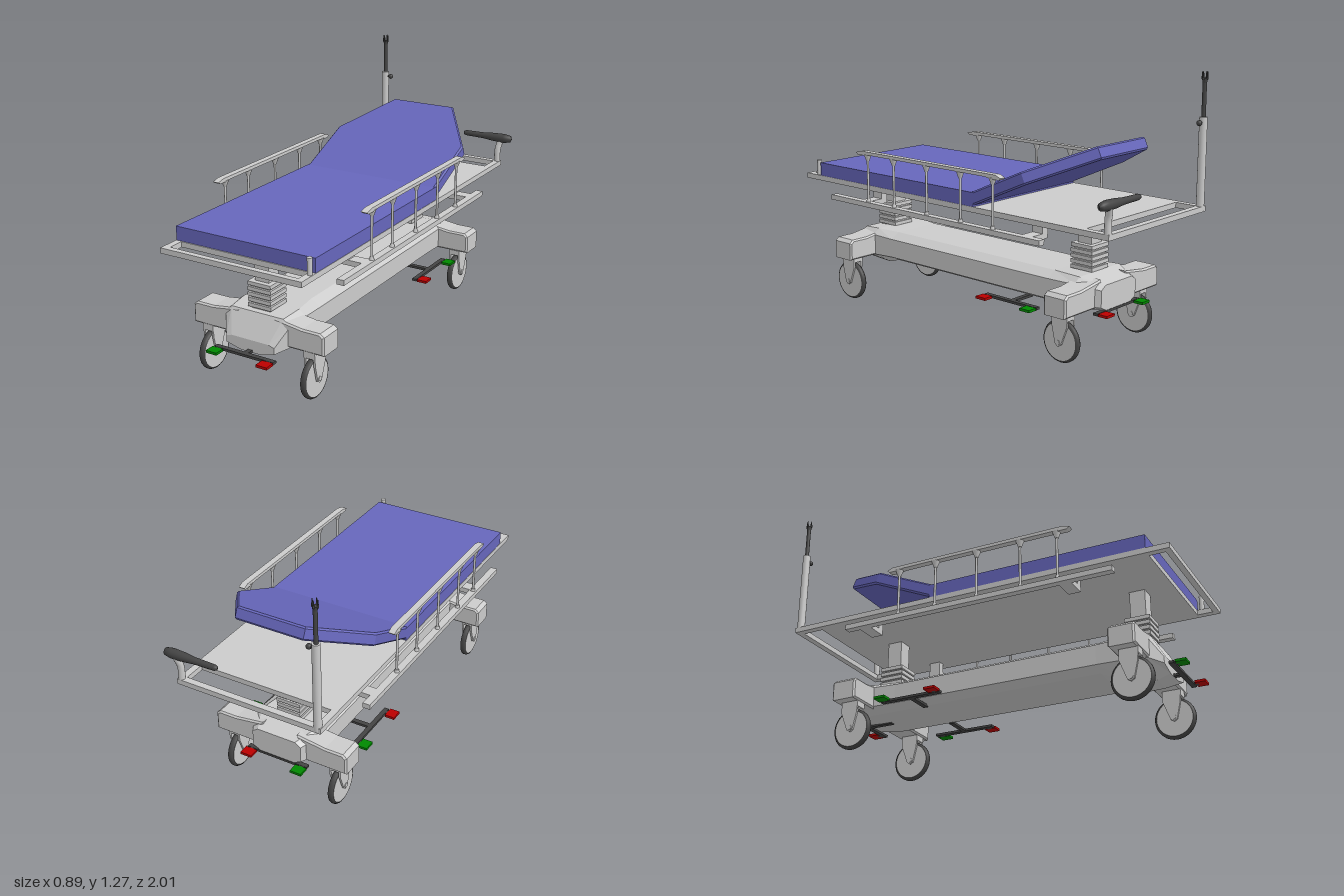
import * as THREE from 'three';

const mat = (color, extra = {}) => new THREE.MeshStandardMaterial({ color, ...extra });
const GREY = mat(0xcccccc), FLAT = mat(0xcccccc, { flatShading: true });
const BLUE = mat(0x6666bb), DARK = mat(0x444444), RED = mat(0xbb0000), GREEN = mat(0x008800);

function add(parent, name, geo, material, x = 0, y = 0, z = 0) {
  const m = new THREE.Mesh(geo, material);
  m.name = name;
  m.position.set(x, y, z);
  parent.add(m);
  return m;
}

// Box given by its min/max on each axis
function block(parent, name, [x0, x1], [y0, y1], [z0, z1], material = GREY) {
  return add(parent, name, new THREE.BoxGeometry(Math.abs(x1 - x0), y1 - y0, z1 - z0), material,
    (x0 + x1) / 2, (y0 + y1) / 2, (z0 + z1) / 2);
}

function rod(parent, name, rTop, rBottom, x, y0, y1, z, material = GREY, sides = 16) {
  return add(parent, name, new THREE.CylinderGeometry(rTop, rBottom, y1 - y0, sides), material, x, (y0 + y1) / 2, z);
}

// Skin over closed rings that run counter-clockwise seen from +z, listed front to back
function loft(rings) {
  const n = rings[0].length, index = [], last = (rings.length - 1) * n;
  for (let i = 0; i < rings.length - 1; i++) for (let j = 0; j < n; j++) {
    const a = i * n + j, b = i * n + (j + 1) % n;
    index.push(a, a + n, b, b, a + n, b + n);
  }
  for (let j = 1; j < n - 1; j++) index.push(0, j, j + 1, last, last + j + 1, last + j);
  const g = new THREE.BufferGeometry();
  g.setAttribute('position', new THREE.Float32BufferAttribute(rings.flat(2), 3));
  g.setIndex(index);
  g.computeVertexNormals();
  return g;
}

// Side-view outline in (z, y), extruded to a width centred on x = 0
function sideProfile(points, width) {
  const s = new THREE.Shape(points.map(([z, y]) => new THREE.Vector2(-z, y)));
  return new THREE.ExtrudeGeometry(s, { depth: width, bevelEnabled: false }).translate(0, 0, -width / 2).rotateY(Math.PI / 2);
}

function buildBase(g) {
  // Chassis sections: z, half widths (top, middle, bottom), heights (top, shoulder, lower, bottom)
  const sections = [
    [0.85, 0.10, 0.13, 0.05, 0.25, 0.24, 0.21, 0.19],
    [0.79, 0.14, 0.175, 0.055, 0.36, 0.33, 0.23, 0.167],
    [0.68, 0.15, 0.185, 0.07, 0.368, 0.34, 0.235, 0.17],
    [0.55, 0.13, 0.18, 0.13, 0.365, 0.335, 0.24, 0.215],
    [-0.5, 0.13, 0.18, 0.13, 0.365, 0.335, 0.24, 0.215],
    [-0.66, 0.15, 0.185, 0.13, 0.368, 0.34, 0.24, 0.215],
    [-0.77, 0.10, 0.13, 0.09, 0.34, 0.32, 0.24, 0.22],
  ];
  add(g, 'chassis', loft(sections.map(([z, t, m, b, yt, ys, yl, yb]) => [
    [-b, yb, z], [b, yb, z], [m, yl, z], [m, ys, z], [t, yt, z], [-t, yt, z], [-m, ys, z], [-m, yl, z]])), FLAT);

  // Lifting columns with ribbed sleeves
  for (const z of [0.71, -0.6]) {
    block(g, 'columnPost', [-0.038, 0.038], [0.34, 0.64], [z - 0.038, z + 0.038]);
    block(g, 'columnSleeve', [-0.052, 0.052], [0.35, 0.49], [z - 0.052, z + 0.052]);
    for (let i = 0; i < 5; i++)
      block(g, 'sleeveRib', [-0.062, 0.062], [0.37 + i * 0.026, 0.388 + i * 0.026], [z - 0.062, z + 0.062]);
  }

  // Caster arms and casters
  for (const side of [-1, 1]) for (const [z, armZ] of [[0.755, 0.735], [-0.665, -0.68]]) {
    const arm = new THREE.Shape();
    [[0.1, 0.24], [0.345, 0.24], [0.345, 0.318], [0.33, 0.33], [0.24, 0.33], [0.1, 0.35]]
      .forEach(([x, y], i) => (i ? arm.lineTo(x * side, y) : arm.moveTo(x * side, y)));
    add(g, 'casterArm', new THREE.ExtrudeGeometry(arm, { depth: 0.11, bevelSize: 0.008, bevelThickness: 0.008, bevelSegments: 1 }),
      GREY, 0, 0, armZ - 0.055);
    caster(g, 0.277 * side, z);
  }
}

function caster(g, x, z) {
  const c = new THREE.Group();
  c.name = 'caster';
  c.position.set(x, 0, z);
  g.add(c);
  const tread = [[0.088, -0.015], [0.096, -0.012], [0.1, -0.005], [0.1, 0.005], [0.096, 0.012], [0.088, 0.015]];
  add(c, 'tyre', new THREE.LatheGeometry(tread.map(p => new THREE.Vector2(...p)), 36), DARK, 0, 0.1, 0).rotation.z = Math.PI / 2;
  add(c, 'wheelDisc', new THREE.CylinderGeometry(0.09, 0.09, 0.028, 36), GREY, 0, 0.1, 0).rotation.z = Math.PI / 2;
  add(c, 'axle', new THREE.CylinderGeometry(0.012, 0.012, 0.064, 12), GREY, 0, 0.1, 0).rotation.z = Math.PI / 2;
  const plate = [[-0.05, 0.225], [0.04, 0.225], [0.035, 0.17], [0.016, 0.09], [0, 0.08], [-0.016, 0.09], [-0.05, 0.18]];
  for (const s of [-1, 1]) add(c, 'forkPlate', sideProfile(plate, 0.01), GREY, s * 0.024, 0, 0);
  block(c, 'forkCrown', [-0.029, 0.029], [0.205, 0.245], [-0.05, 0.04]);
}

// Pedal pair reaching out along the group's +z; first colour sits on its -x end
function pedals(g, x, y, z, turn, first, second) {
  const p = new THREE.Group();
  p.name = 'footPedals';
  p.position.set(x, y, z);
  p.rotation.y = turn;
  g.add(p);
  block(p, 'pedalStem', [-0.012, 0.012], [-0.006, 0.006], [-0.14, 0], DARK);
  block(p, 'pedalBar', [-0.16, 0.16], [-0.006, 0.006], [-0.012, 0.012], DARK);
  [[-0.135, first], [0.135, second]].forEach(([px, m]) => {
    block(p, 'pedalArm', [px - 0.012, px + 0.012], [-0.005, 0.005], [0, 0.03], DARK);
    block(p, 'pedalPad', [px - 0.029, px + 0.029], [-0.005, 0.007], [0.018, 0.068], m);
  });
}

function buildDeck(g) {
  block(g, 'deck', [-0.37, 0.37], [0.632, 0.658], [-0.84, 0.88]);
  for (const s of [-1, 1]) {
    block(g, 'frontFrameRail', [s * 0.337, s * 0.37], [0.632, 0.658], [0.88, 0.985]);
    block(g, 'backFrameRail', [s * 0.337, s * 0.37], [0.632, 0.658], [-0.98, -0.84]);
  }
  block(g, 'frontFrameBar', [-0.337, 0.337], [0.632, 0.658], [0.957, 0.985]);
  block(g, 'backFrameBar', [-0.337, 0.337], [0.632, 0.658], [-0.98, -0.948]);
  rod(g, 'cornerPeg', 0.012, 0.012, 0.355, 0.64, 0.735, 0.9);

  // Mattress: flat section and raised tapering backrest
  block(g, 'mattress', [-0.368, 0.368], [0.658, 0.725], [-0.21, 0.875], BLUE);
  const outline = [[-0.36, 0], [0.36, 0], [0.36, 0.345], [0.17, 0.635], [-0.17, 0.635], [-0.36, 0.345]];
  const back = new THREE.ExtrudeGeometry(new THREE.Shape(outline.map(p => new THREE.Vector2(...p))),
    { depth: 0.045, bevelSize: 0.008, bevelThickness: 0.008, bevelSegments: 1 });
  back.rotateX(-Math.PI / 2);
  add(g, 'backrest', back, BLUE, 0, 0.67, -0.2).rotation.x = 0.42;
}

function buildSideRails(g) {
  const cap = [[0.54, 0.828], [0.525, 0.818], [0.48, 0.818], [0.45, 0.822], [-0.33, 0.822], [-0.36, 0.816],
    [-0.41, 0.816], [-0.42, 0.826], [-0.39, 0.838], [0.5, 0.838]];
  for (const s of [-1, 1]) {
    const r = new THREE.Group();
    r.name = 'sideRail';
    r.position.x = s * 0.4;
    g.add(r);
    add(r, 'topRail', sideProfile(cap, 0.032), GREY);
    block(r, 'lowerRail', [-0.018, 0.018], [0.56, 0.585], [-0.645, 0.735]);
    for (const z of [0.47, 0.285, 0.06, -0.16, -0.36]) {
      rod(r, 'baluster', 0.006, 0.006, 0, 0.58, 0.8, z, GREY, 12);
      rod(r, 'balusterFoot', 0.009, 0.012, 0, 0.585, 0.6, z, GREY, 12);
      rod(r, 'balusterHead', 0.02, 0.008, 0, 0.79, 0.823, z, GREY, 12);
    }
    // Brackets hanging the rail below the deck
    for (const z of [0.5, -0.55]) {
      block(g, 'bracketDrop', [s * 0.28, s * 0.315], [0.56, 0.635], [z - 0.03, z + 0.03]);
      block(g, 'bracketReach', [s * 0.315, s * 0.385], [0.56, 0.585], [z - 0.03, z + 0.03]);
    }
  }
}

function buildPoleAndHandle(g) {
  // Drip pole
  const x = -0.348, z = -0.964;
  rod(g, 'poleSleeve', 0.019, 0.019, x, 0.64, 1.07, z);
  rod(g, 'polePost', 0.01, 0.01, x, 1.06, 1.24, z, DARK);
  add(g, 'poleScrew', new THREE.CylinderGeometry(0.006, 0.006, 0.03, 12), DARK, x + 0.022, 1.045, z).rotation.z = Math.PI / 2;
  add(g, 'poleKnob', new THREE.SphereGeometry(0.013, 16, 12), DARK, x + 0.034, 1.045, z);
  rod(g, 'poleCollar', 0.014, 0.01, x, 1.225, 1.245, z, DARK);
  for (let i = 0; i < 4; i++) {
    const a = i * Math.PI / 2;
    rod(g, 'poleHook', 0.002, 0.005, x + 0.013 * Math.cos(a), 1.24, 1.275, z + 0.013 * Math.sin(a), DARK, 8);
  }

  // Push handle on a bent post
  const post = new THREE.CatmullRomCurve3([[0.354, 0.645, -0.964], [0.354, 0.72, -0.964], [0.36, 0.755, -0.972], [0.375, 0.79, -0.98]]
    .map(p => new THREE.Vector3(...p)));
  add(g, 'handlePost', new THREE.TubeGeometry(post, 16, 0.016, 14), GREY);
  const grip = [[0, 0], [0.01, 0.004], [0.014, 0.015], [0.016, 0.12], [0.022, 0.18], [0.024, 0.24], [0.018, 0.275], [0, 0.285]];
  const m = add(g, 'handleGrip', new THREE.LatheGeometry(grip.map(p => new THREE.Vector2(...p)), 20), DARK, 0.145, 0.785, -0.974);
  m.rotation.z = -Math.PI / 2;
}

export function createModel() {
  const root = new THREE.Group();
  root.name = 'hospitalStretcher';
  const g = new THREE.Group();
  g.name = 'stretcher';
  g.position.x = -0.008;
  g.rotation.y = 0.043;
  root.add(g);
  buildBase(g);
  buildDeck(g);
  buildSideRails(g);
  buildPoleAndHandle(g);
  pedals(g, 0, 0.196, 0.89, 0, GREEN, RED);
  pedals(g, 0, 0.215, -0.76, Math.PI, RED, GREEN);
  pedals(g, 0.265, 0.215, -0.355, Math.PI / 2, RED, GREEN);
  pedals(g, -0.265, 0.215, -0.355, -Math.PI / 2, GREEN, RED);
  return root;
}
